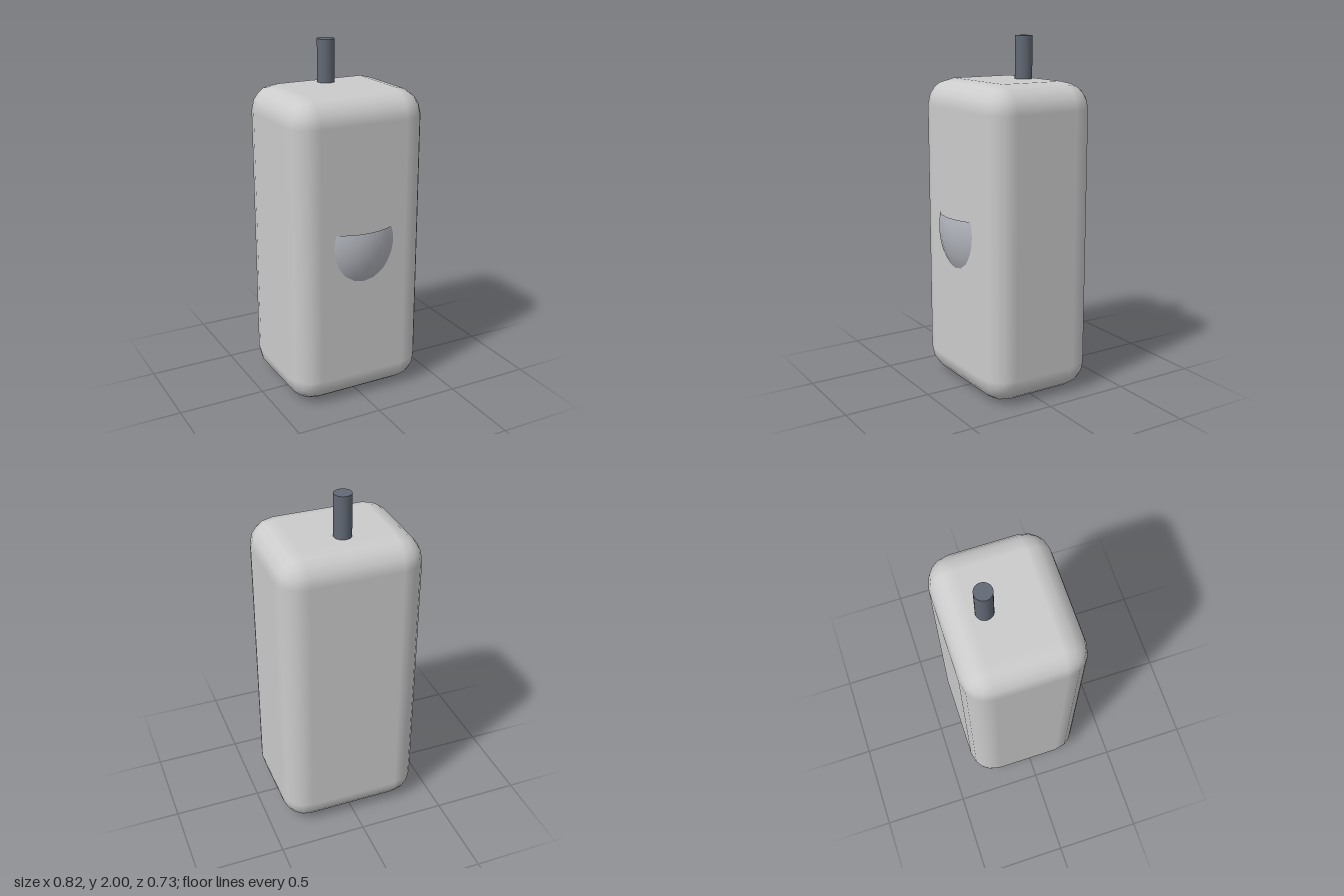
import * as THREE from 'three';
import { RoundedBoxGeometry } from 'three/addons/geometries/RoundedBoxGeometry.js';

export function createModel() {
  const model = new THREE.Group();

  function add(name, geometry, color, x, y, z, side = THREE.FrontSide) {
    const mesh = new THREE.Mesh(geometry, new THREE.MeshStandardMaterial({ color, side }));
    mesh.name = name;
    mesh.position.set(x, y, z);
    model.add(mesh);
    return mesh;
  }

  // Upright housing with softly rounded edges
  add('body', new RoundedBoxGeometry(0.82, 1.76, 0.675, 2, 0.15), 0xcccccc, 0, 0.88, -0.0275);

  // Rod rising from the top, set towards the back
  add('rod', new THREE.CylinderGeometry(0.049, 0.049, 0.3, 32), 0x626975, 0, 1.85, -0.142);

  // Shallow open scoop on the front: a patch of an ellipsoid cut level at the top
  const thetaTop = Math.acos(0.2);
  const scoop = new THREE.SphereGeometry(1, 8, 12, Math.PI / 4, Math.PI / 2, thetaTop, 2.25 - thetaTop);
  scoop.scale(0.34, 0.4, 0.34);
  add('frontScoop', scoop, 0xb2b5bd, 0, 0.94, 0.025, THREE.DoubleSide);

  return model;
}
